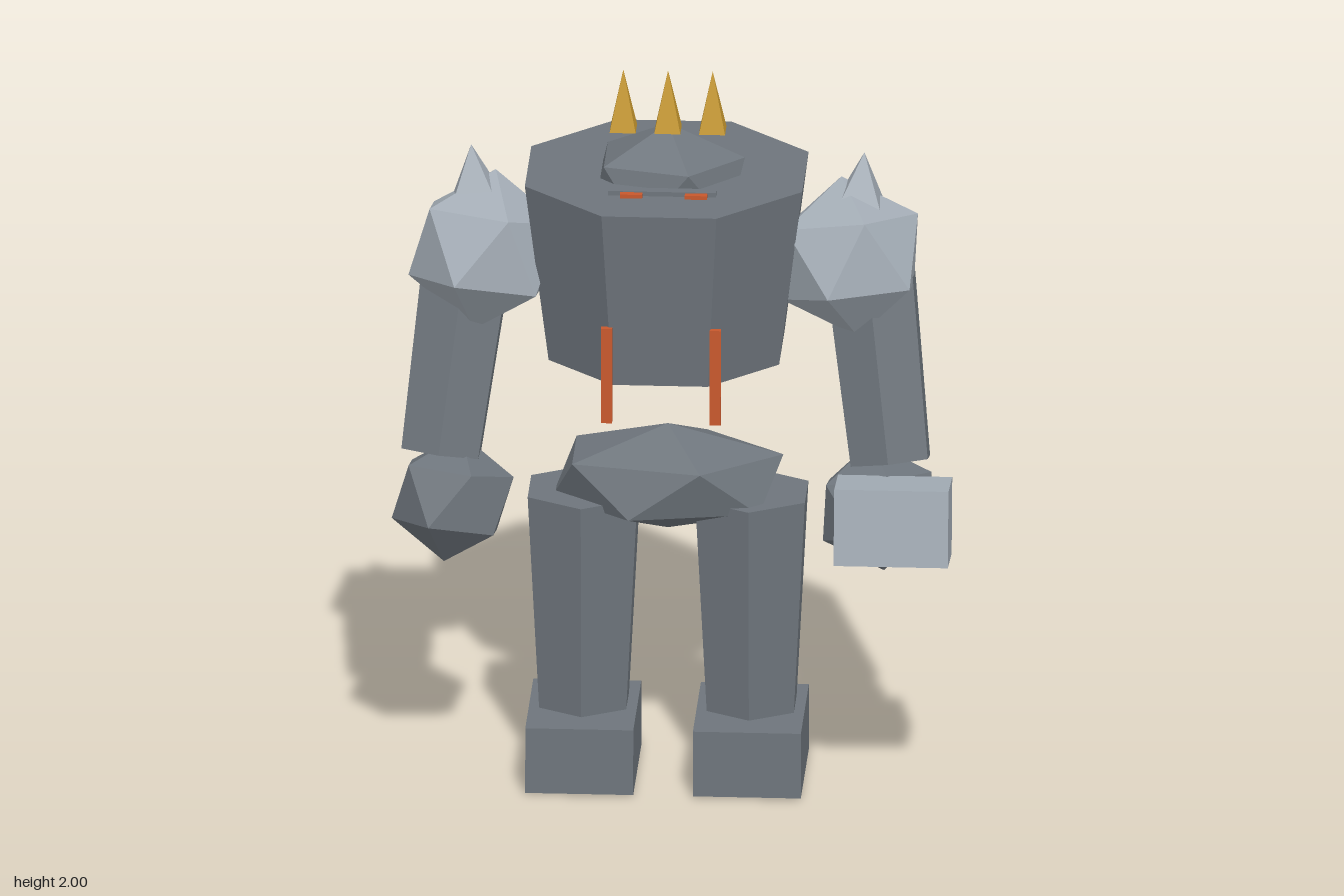
import * as THREE from 'three';

const CX = -0.02;      // mirror axis of the body
const LEAN = -0.014;   // slight backward lean of the whole figure

const flat = (name, color) => {
  const m = new THREE.MeshStandardMaterial({ color, flatShading: true });
  m.name = name;
  return m;
};

// Icosahedron with one corner straight up and its upper ring pointing to +x
const boulder = (rx, ry, rz) =>
  new THREE.IcosahedronGeometry(1, 0)
    .rotateZ(-Math.atan(2 / (1 + Math.sqrt(5))))
    .scale(rx, ry, rz);

// Square spike with its sides facing the axes
const spike = (half, height) =>
  new THREE.ConeGeometry(half * Math.SQRT2, height, 4).rotateY(Math.PI / 4);

export function createModel() {
  const stone = flat('dark stone', 0x6e757c);
  const pale = flat('pale stone', 0xa4adb6);
  const gold = flat('gold', 0xc8992f);
  const ember = flat('ember orange', 0xc8582c);

  const model = new THREE.Group();
  model.name = 'stoneGolem';

  const add = (name, geometry, material, pos, rx = LEAN, rz = 0) => {
    const mesh = new THREE.Mesh(geometry, material);
    mesh.name = name;
    mesh.position.set(...pos);
    mesh.rotation.set(rx, 0, rz);
    model.add(mesh);
    return mesh;
  };

  // Torso, widening towards the top
  const torso = new THREE.CylinderGeometry(0.403, 0.335, 0.505, 8).rotateY(Math.PI / 8);
  add('torso', torso, stone, [CX - 0.004, 1.46, -0.04]);

  // Pelvis and head
  add('pelvis', boulder(0.347, 0.149, 0.21), stone, [CX, 0.838, -0.028]);
  add('head', boulder(0.231, 0.17, 0.185), stone, [CX, 1.678, -0.034]);

  // Brow bar with two glowing eyes
  add('brow', new THREE.BoxGeometry(0.29, 0.05, 0.03), stone, [CX - 0.005, 1.703, 0.152]);
  for (const side of [-1, 1]) {
    add('eye', new THREE.BoxGeometry(0.06, 0.03, 0.04), ember, [CX + side * 0.087, 1.711, 0.167]);
  }

  // Crown of three spikes
  for (const i of [-1, 0, 1]) {
    add('crownSpike', spike(0.035, 0.17), gold, [CX + i * 0.12, 1.915, -0.035], 0);
  }

  for (const side of [-1, 1]) {
    const x = (d) => CX + side * d;

    // Chest strips
    add('chestStrip', new THREE.BoxGeometry(0.03, 0.27, 0.018), ember, [x(0.146), 1.25, 0.298]);

    // Leg and foot
    add('leg', new THREE.CylinderGeometry(0.17, 0.135, 0.61, 6), stone, [x(0.225), 0.49, -0.032]);
    add('foot', new THREE.BoxGeometry(0.29, 0.185, 0.383), stone, [x(0.225), 0.095, 0.01]);

    // Arm swung forward and outward
    const swing = -0.28;
    const spread = side * 0.12;
    add('shoulder', boulder(0.217, 0.217, 0.217), pale, [x(0.49), 1.487, -0.005], swing, spread);
    add('arm', new THREE.CylinderGeometry(0.135, 0.12, 0.56, 6), stone, [x(0.57), 1.2, 0], swing, spread);
    add('fist', boulder(0.173, 0.173, 0.173), stone, [x(0.57), 0.815, 0.11], swing, spread);
    add('shoulderSpike', spike(0.08, 0.2), pale, [x(0.52), 1.68, -0.025], 0, -side * 0.08);
  }

  // Block carried in the left hand
  add('handBlock', new THREE.BoxGeometry(0.307, 0.21, 0.183), pale, [0.603, 0.847, 0.303], -0.15);

  return model;
}
